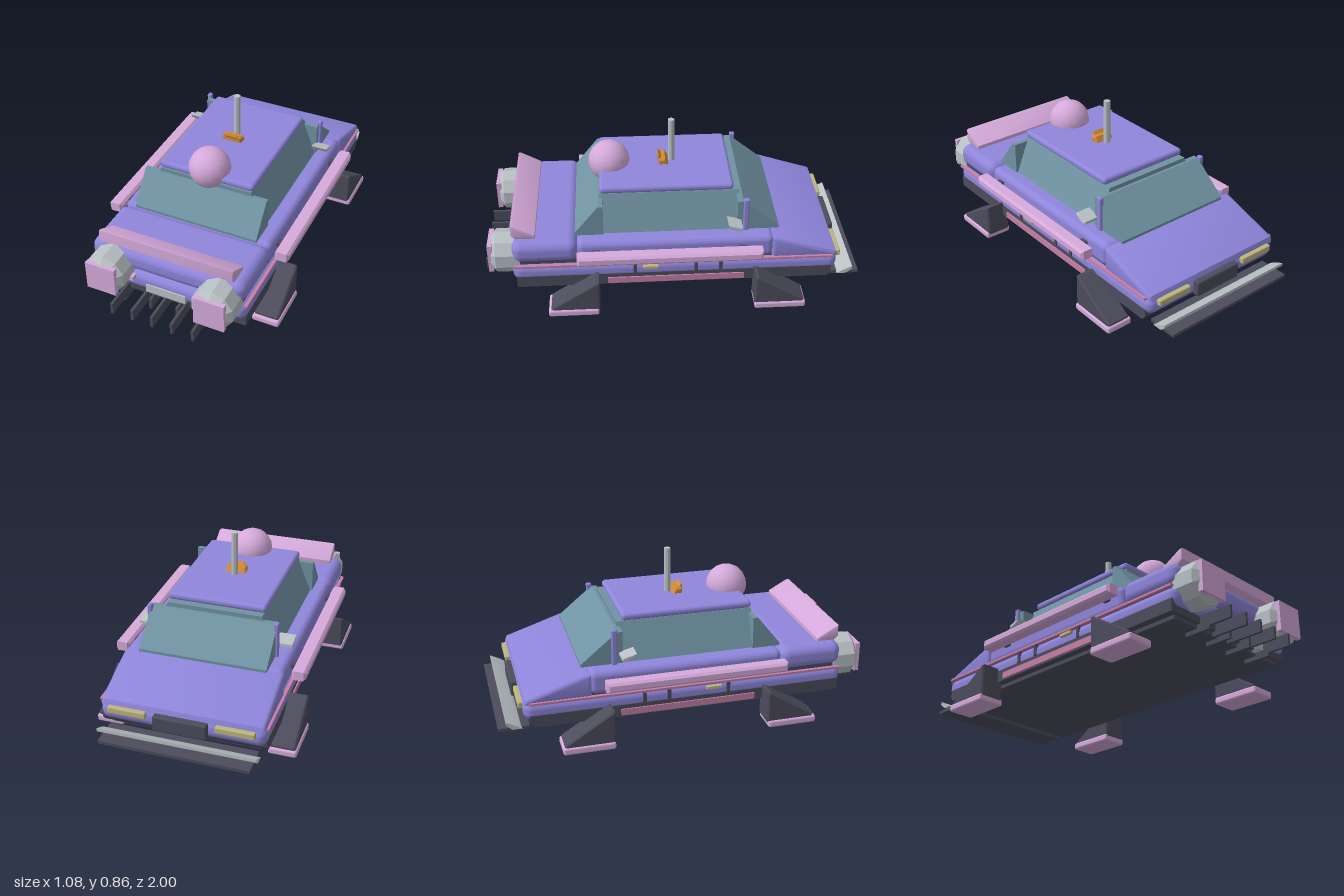
import * as THREE from 'three';
import { toCreasedNormals } from 'three/addons/utils/BufferGeometryUtils.js';
import { RoundedBoxGeometry } from 'three/addons/geometries/RoundedBoxGeometry.js';

const paint = (name, color) => {
  const m = new THREE.MeshStandardMaterial({ color });
  m.name = name;
  return m;
};

export function createModel() {
  const car = new THREE.Group();
  car.name = 'hoverCar';
  const purple = paint('purple', 0x8f86dc);
  const pink = paint('pink', 0xd6aadb);
  const rose = paint('rose', 0xc67fa8);
  const glass = paint('glass', 0x7093a3);
  const dark = paint('darkGrey', 0x4c4c5c);
  const grey = paint('lightGrey', 0xb9c1c5);
  const yellow = paint('paleYellow', 0xbdb57f);
  const orange = paint('orange', 0xd08c38);

  const add = (name, geometry, material, x = 0, y = 0, z = 0) => {
    const mesh = new THREE.Mesh(geometry, material);
    mesh.name = name;
    mesh.position.set(x, y, z);
    car.add(mesh);
    return mesh;
  };
  // Box given by its limits, rounded when r > 0
  const box = (name, mat, [x0, x1], [y0, y1], [z0, z1], r = 0) => {
    const s = [x1 - x0, y1 - y0, z1 - z0];
    const g = r ? new RoundedBoxGeometry(...s, 3, r) : new THREE.BoxGeometry(...s);
    return add(name, g, mat, (x0 + x1) / 2, (y0 + y1) / 2, (z0 + z1) / 2);
  };
  // Side profile of [z, y] points extruded across x; bevel stays inside the outline
  const prism = (name, mat, pts, width, x = 0, bevel = 0, segments = 1) => {
    const shape = new THREE.Shape(pts.map(([z, y]) => new THREE.Vector2(z, y)));
    const g = new THREE.ExtrudeGeometry(shape, {
      depth: width - 2 * bevel, bevelEnabled: bevel > 0, bevelSize: bevel,
      bevelThickness: bevel, bevelOffset: -bevel, bevelSegments: segments,
    });
    g.translate(0, 0, -(width - 2 * bevel) / 2);
    g.rotateY(-Math.PI / 2);
    return add(name, toCreasedNormals(g, segments > 1 ? 0.7 : 0.2), mat, x);
  };
  const tubeZ = (r1, r0, len, sides) =>
    toCreasedNormals(new THREE.CylinderGeometry(r1, r0, len, sides).rotateX(Math.PI / 2), 0.2);

  // Chassis and body
  prism('chassis', dark, [[0.82, 0.19], [0.82, 0.125], [-0.82, 0.125], [-0.84, 0.15], [-0.84, 0.19]], 0.86);
  box('underTray', dark, [-0.39, 0.39], [0.105, 0.13], [-0.8, 0.8]);
  box('lowerBody', purple, [-0.43, 0.43], [0.155, 0.26], [-0.87, 0.84], 0.045);
  box('midBody', purple, [-0.42, 0.42], [0.255, 0.385], [-0.53, 0.5], 0.035);
  box('tailBody', purple, [-0.425, 0.425], [0.265, 0.39], [0.495, 0.84], 0.05);
  box('bodySeam', dark, [-0.405, 0.405], [0.25, 0.28], [-0.8, 0.8]);
  prism('hood', purple, [[-0.52, 0.375], [-0.55, 0.377], [-0.86, 0.275], [-0.87, 0.245], [-0.52, 0.245]],
    0.85, 0, 0.02, 3);

  // Cabin: narrowing core, wedge windows and roof
  const core = new THREE.BoxGeometry(1, 0.2, 0.73);
  const p = core.attributes.position;
  for (let i = 0; i < p.count; i++) p.setX(i, Math.sign(p.getX(i)) * (p.getY(i) > 0 ? 0.255 : 0.337));
  core.computeVertexNormals();
  add('cabinGlass', core, glass, 0, 0.48, 0.01);
  prism('rearWindow', glass, [[0.51, 0.385], [0.51, 0.4], [0.385, 0.557], [0.36, 0.557], [0.36, 0.385]], 0.69);
  prism('windshield', glass, [[-0.56, 0.385], [-0.34, 0.385], [-0.34, 0.557], [-0.37, 0.557], [-0.56, 0.4]], 0.68);
  box('roof', purple, [-0.265, 0.265], [0.58, 0.62], [-0.325, 0.375], 0.018);

  // Roof equipment
  add('dome', new THREE.SphereGeometry(0.111, 16, 10), pink, 0, 0.627, 0.32);
  add('antenna', toCreasedNormals(new THREE.CylinderGeometry(0.018, 0.018, 0.255, 8), 0.2),
    grey, 0, 0.737, -0.015);
  prism('beacon', orange, [[0.01, 0.615], [0.055, 0.667], [0.06, 0.65], [0.045, 0.615]], 0.07);
  prism('beaconBase', orange, [[0, 0.615], [0.02, 0.65], [0.055, 0.65], [0.055, 0.615]], 0.11, 0, 0.008);

  // Spoiler
  prism('spoiler', pink, [[0.715, 0.388], [0.815, 0.388], [0.84, 0.41], [0.838, 0.472], [0.82, 0.468], [0.715, 0.41]],
    0.74, 0, 0.01, 2);

  for (const s of [-1, 1]) {
    const span = (a, b) => (s > 0 ? [a, b] : [-b, -a]);

    // Landing legs and pads
    for (const [name, e, zIn, zOut] of [['front', 1, 0.39, 0.655], ['back', -1, 0.425, 0.695]]) {
      let pts = [[zIn, 0.03], [zOut - 0.01, 0.03], [zOut - 0.01, 0.05], [zIn + 0.015, 0.205], [zIn, 0.205]];
      if (e < 0) pts = pts.map(([z, y]) => [-z, y]).reverse();
      prism(name + 'Leg', dark, pts, 0.132, s * 0.464, 0.008);
      const z = e > 0 ? [zIn + 0.005, zOut + 0.005] : [-zOut, -zIn];
      box(name + 'Pad', pink, span(0.39, 0.538), [0, 0.04], z, 0.012);
    }

    // Side rails, trim and sill
    prism('sideRail', pink, [[0.5, 0.305], [0.5, 0.357], [-0.46, 0.357], [-0.46, 0.305]].reverse(),
      0.075, s * 0.479, 0.012);
    for (const z of [0.4, -0.36]) box('railMount', dark, span(0.4, 0.45), [0.318, 0.342], [z - 0.02, z + 0.02]);
    box('trimLine', rose, span(0.42, 0.438), [0.25, 0.262], [-0.84, 0.825]);
    box('sillPanel', rose, span(0.42, 0.437), [0.133, 0.168], [-0.375, 0.345]);
    for (const z of [0.2, -0.12, -0.25]) box('sideStrut', dark, span(0.42, 0.436), [0.19, 0.25], [z - 0.009, z + 0.009]);
    box('doorHandle', yellow, span(0.425, 0.446), [0.225, 0.24], [0.08, 0.16]);

    // Windshield posts and mirrors
    box('post', purple, span(0.328, 0.354), [0.38, 0.575], [-0.4, -0.37], 0.008);
    prism('mirror', grey, [[-0.285, 0.465], [-0.3, 0.44], [-0.34, 0.425], [-0.36, 0.43], [-0.36, 0.445]],
      0.09, s * 0.375, 0.004);

    // Thrusters
    add('thrusterBarrel', tubeZ(0.115, 0.115, 0.12, 10), grey, s * 0.298, 0.275, 0.865);
    add('thrusterNozzle', tubeZ(0.075, 0.115, 0.035, 10), grey, s * 0.298, 0.275, 0.9425);
    box('thrusterPlate', pink, span(0.216, 0.38), [0.195, 0.357], [0.94, 0.966]);
    box('thrusterClip', pink, span(0.172, 0.2), [0.225, 0.25], [0.83, 0.865]);

    // Headlights
    box('headlight', yellow, span(0.18, 0.38), [0.215, 0.25], [-0.893, -0.86], 0.006);
  }

  // Fin rows, plate and pipe
  for (const x of [-0.225, -0.11, 0, 0.11, 0.225])
    box('fin', dark, [x - 0.007, x + 0.007], [0.1, 0.165], [0.8, 1]);
  for (const x of [-0.225, -0.075, 0.075, 0.225])
    box('lowerFin', dark, [x - 0.007, x + 0.007], [0.083, 0.145], [0.73, 0.875]);
  box('plate', grey, [-0.11, 0.11], [0.165, 0.212], [0.82, 0.848]);
  add('exhaustPipe', tubeZ(0.026, 0.026, 0.06, 10), grey, 0.203, 0.143, 0.82);

  // Grille and low bumper
  box('grille', dark, [-0.14, 0.14], [0.165, 0.25], [-0.902, -0.86], 0.01);
  box('bumperTray', dark, [-0.39, 0.39], [0.103, 0.12], [-1, -0.84]);
  prism('bumperBlade', grey, [[-0.88, 0.118], [-0.9, 0.132], [-0.96, 0.162], [-0.96, 0.145], [-0.93, 0.118]], 0.82);
  return car;
}
